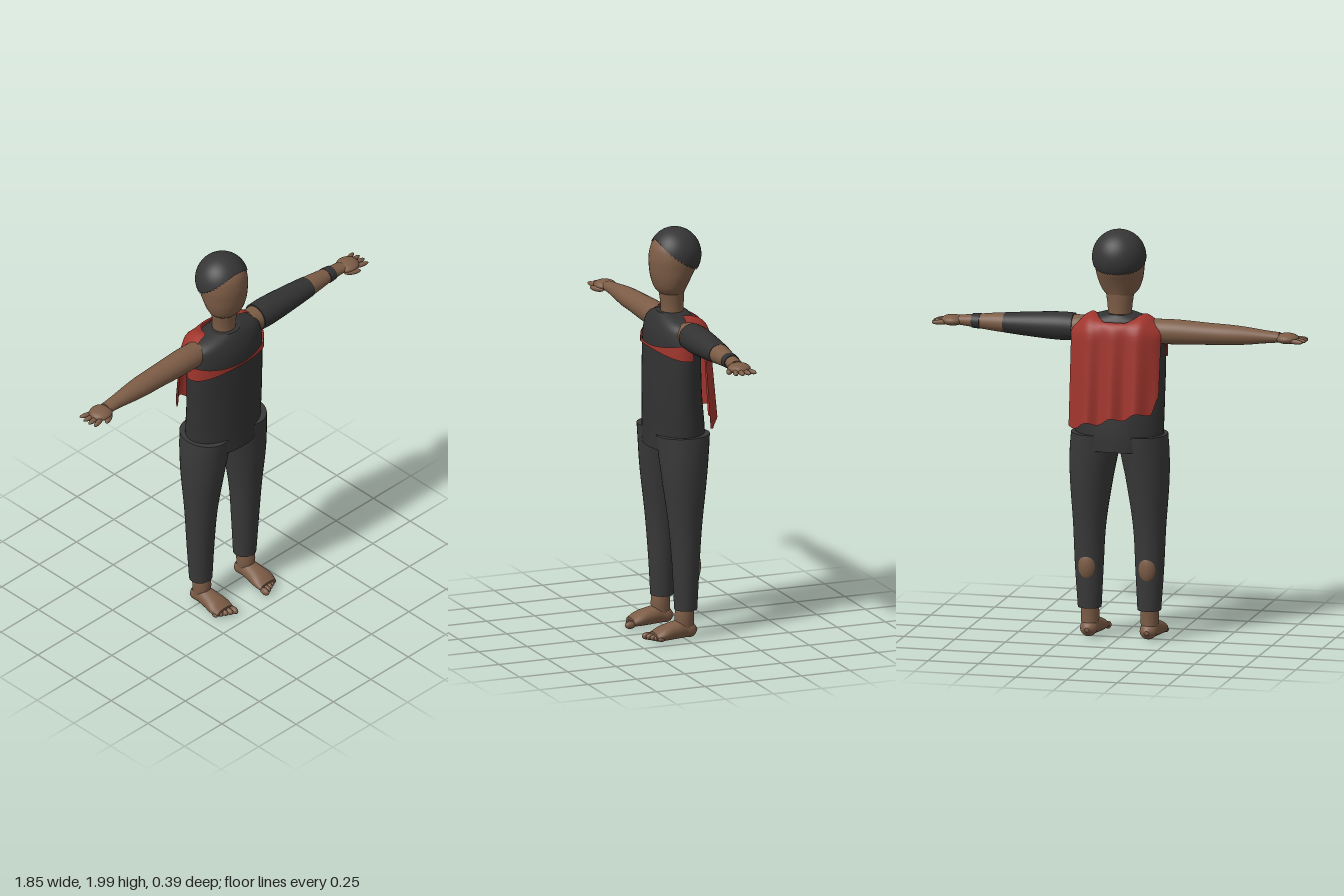
import * as THREE from 'three';

const paint = (name, color, side = THREE.FrontSide) => {
  const m = new THREE.MeshStandardMaterial({ color, side });
  m.name = name;
  return m;
};

// Smooth interpolation of sections [t, centreX, radiusX, zFront, zBack]
function profile(sections) {
  const f = new THREE.CubicInterpolant(sections.map(s => s[0]), sections.flatMap(s => s.slice(1)), 4);
  return (t, a, grow = 0) => {
    const [cx, rx, zf, zb] = f.evaluate(t);
    return [cx + (rx + grow) * Math.cos(a), t, (zf + zb) / 2 + ((zf - zb) / 2 + grow) * Math.sin(a)];
  };
}

// Closed tube of elliptical sections rising along y, with capped ends
function loft(sections, rows = 24, sides = 32) {
  const at = profile(sections), pos = [], idx = [];
  const t0 = sections[0][0], t1 = sections[sections.length - 1][0];
  const ring = t => {
    for (let j = 0; j < sides; j++) pos.push(...at(t, j / sides * Math.PI * 2));
  };
  for (let i = 0; i <= rows; i++) ring(t0 + (t1 - t0) * i / rows);
  for (let i = 0; i < rows; i++) for (let j = 0; j < sides; j++) {
    const k = (j + 1) % sides, a = i * sides + j, b = i * sides + k;
    idx.push(a, a + sides, b, b, a + sides, b + sides);
  }
  for (const [t, top] of [[t0, false], [t1, true]]) {
    const base = pos.length / 3;
    ring(t);
    for (let j = 1; j < sides - 1; j++) {
      if (top) idx.push(base, base + j + 1, base + j);
      else idx.push(base, base + j, base + j + 1);
    }
  }
  return surface(pos, idx);
}

// Open sheet from a point rule over u, v in 0..1
function sheet(rule, nu, nv) {
  const pos = [], idx = [];
  for (let i = 0; i <= nv; i++) for (let j = 0; j <= nu; j++) pos.push(...rule(j / nu, i / nv));
  for (let i = 0; i < nv; i++) for (let j = 0; j < nu; j++) {
    const a = i * (nu + 1) + j, c = a + nu + 1;
    idx.push(a, c, a + 1, a + 1, c, c + 1);
  }
  return surface(pos, idx);
}

function surface(pos, idx) {
  const g = new THREE.BufferGeometry();
  g.setAttribute('position', new THREE.Float32BufferAttribute(pos, 3));
  g.setIndex(idx);
  g.computeVertexNormals();
  return g;
}

export function createModel() {
  const model = new THREE.Group();
  const skin = paint('skin', 0x7c5c46);
  const hairMat = paint('hair', 0x363636, THREE.DoubleSide);
  const shirt = paint('shirt', 0x323232);
  const trousers = paint('trousers', 0x393939);
  const red = paint('red cloth', 0xa0352d, THREE.DoubleSide);

  const add = (name, geo, mat, parent = model) => {
    const m = new THREE.Mesh(geo, mat);
    m.name = name;
    parent.add(m);
    return m;
  };
  const ball = (name, mat, p, r, parent) => {
    const m = add(name, new THREE.SphereGeometry(1, 20, 14), mat, parent);
    m.position.set(...p);
    m.scale.set(...r);
    return m;
  };

  // Head and neck
  add('head', loft([
    [1.68, 0, 0.065, 0.06, -0.055], [1.7, 0, 0.085, 0.08, -0.062], [1.75, 0, 0.107, 0.1, -0.085],
    [1.81, 0, 0.118, 0.11, -0.115], [1.87, 0, 0.121, 0.11, -0.125], [1.93, 0, 0.105, 0.09, -0.11],
    [1.975, 0, 0.06, 0.04, -0.07]]), skin);
  add('neck', loft([[1.56, 0, 0.058, 0.055, -0.055], [1.62, 0, 0.059, 0.055, -0.055],
    [1.7, 0, 0.07, 0.065, -0.058]], 8), skin);

  // Hair cap, cut high over the face and low at the nape
  const hair = new THREE.SphereGeometry(1, 48, 24);
  const hp = hair.attributes.position;
  for (let i = 0; i < hp.count; i++) {
    const a = Math.atan2(hp.getX(i), hp.getZ(i));
    const th = Math.acos(THREE.MathUtils.clamp(hp.getY(i), -1, 1)) / Math.PI
      * (1.675 - 0.6 * Math.cos(a) - 0.125 * Math.cos(2 * a));
    const n = [Math.sin(th) * Math.sin(a), Math.cos(th), Math.sin(th) * Math.cos(a)];
    hair.attributes.normal.setXYZ(i, ...n);
    hp.setXYZ(i, n[0] * 0.13, 1.868 + n[1] * 0.132, -0.015 + n[2] * 0.126);
  }
  add('hair', hair, hairMat);

  // Shirt body
  const torso = [
    [0.935, 0, 0.212, 0.132, -0.146], [1.01, 0, 0.215, 0.13, -0.143], [1.2, 0, 0.22, 0.128, -0.125],
    [1.4, 0, 0.224, 0.122, -0.115], [1.5, 0, 0.216, 0.116, -0.108], [1.55, 0, 0.195, 0.1, -0.095],
    [1.575, 0, 0.14, 0.088, -0.085], [1.592, 0, 0.08, 0.075, -0.07]];
  add('shirt', loft(torso, 60, 48), shirt);

  // Cloth band across the chest, widening toward the armpits
  const body = profile(torso);
  add('chestBand', sheet((u, v) => {
    const a = -0.15 + u * (Math.PI + 0.3), c = Math.cos(a) ** 2;
    return body(THREE.MathUtils.lerp(1.443 + 0.027 * c, 1.43 - 0.038 * c, v), a, 0.01);
  }, 48, 4), red);

  // Cape: over the shoulders, then hanging in folds to an uneven hem
  add('cape', sheet((uu, v) => {
    const u = uu * 2 - 1, w = Math.abs(u), bow = 1 - u ** 4;
    const wide = THREE.MathUtils.smoothstep(w, 0.2, 0.6);
    const fold = 0.014 * Math.cos(11.4 * u) * bow;
    const y0 = 1.562 + 0.033 * wide - 0.045 * THREE.MathUtils.smoothstep(w, 0.55, 1);
    const z0 = -0.105 + 0.105 * wide, zb = -0.075 - 0.07 * bow;
    if (v < 0.25) {
      const t = v / 0.25, s = 1 - t;
      return [0.222 * u, s * s * y0 + 2 * s * t * (y0 - 0.004) + t * t * 1.48,
        s * s * z0 + 2 * s * t * (zb + 0.005) + t * t * zb - fold * 0.4 * t];
    }
    const t = (v - 0.25) / 0.75;
    const hem = 1.095 - 0.05 * u + 0.012 * Math.cos(11.4 * u) + 0.06 * THREE.MathUtils.smoothstep(-u, 0.85, 1);
    return [0.222 * u + 0.004 * t, THREE.MathUtils.lerp(1.48, hem, t),
      zb - 0.03 * t - fold * (0.4 + 0.6 * t)];
  }, 64, 32), red);

  for (const s of [1, -1]) {
    const side = s > 0 ? 'left' : 'right';

    // Trouser leg, with the calf showing through a tear behind
    add(side + 'TrouserLeg', loft([
      [0.15, s * 0.147, 0.057, 0.046, -0.064], [0.35, s * 0.149, 0.069, 0.056, -0.073],
      [0.55, s * 0.148, 0.079, 0.073, -0.086], [0.8, s * 0.137, 0.106, 0.104, -0.115],
      [0.93, s * 0.124, 0.118, 0.117, -0.13], [1.01, s * 0.12, 0.115, 0.125, -0.137]], 32), trousers);
    ball(side + 'Calf', skin, [s * 0.149, 0.36, -0.045], [0.046, 0.08, 0.038]);

    // Ankle, foot and toes
    add(side + 'Ankle', loft([[0.04, s * 0.147, 0.038, 0.035, -0.05], [0.1, s * 0.147, 0.044, 0.045, -0.048],
      [0.18, s * 0.147, 0.042, 0.038, -0.052]], 8), skin);
    const foot = add(side + 'Foot', loft([
      [-0.064, 0, 0.012, -0.035, -0.055], [-0.045, 0, 0.036, -0.014, -0.08], [0, 0, 0.042, -0.01, -0.1],
      [0.06, 0, 0.05, -0.007, -0.092], [0.12, 0, 0.059, -0.006, -0.072],
      [0.155, s * -0.004, 0.052, -0.01, -0.05]]).rotateX(Math.PI / 2), skin);
    foot.position.x = s * 0.147;
    for (let i = 0; i < 5; i++) {
      const r = 0.018 - i * 0.0015;
      ball(side + 'Toe', skin, [s * (0.104 + i * 0.0225), 0.024, 0.172 - i * 0.009], [r * 0.85, r, r * 1.5]);
    }

    // Arm pieces are lofted along y, then laid out sideways
    const arm = new THREE.Group();
    arm.name = side + 'Arm';
    arm.position.y = 1.513;
    arm.rotation.z = -s * Math.PI / 2;
    model.add(arm);
    add(side + 'BareArm', loft([
      [0.17, 0, 0.058, 0.05, -0.07], [0.27, 0, 0.06, 0.052, -0.072], [0.45, 0, 0.052, 0.046, -0.066],
      [0.55, 0, 0.048, 0.044, -0.062], [0.62, 0, 0.043, 0.038, -0.054], [0.72, 0, 0.031, 0.03, -0.042],
      [0.79, 0, 0.024, 0.03, -0.036]], 32), skin, arm);
    if (s > 0) {
      add('sleeve', loft([[0.222, 0, 0.066, 0.058, -0.08], [0.28, 0, 0.068, 0.06, -0.082],
        [0.45, 0, 0.058, 0.053, -0.073], [0.565, 0, 0.048, 0.046, -0.064]], 16), shirt, arm);
      add('wristBand', loft([[0.685, 0, 0.037, 0.036, -0.05], [0.725, 0, 0.034, 0.034, -0.046]], 2), shirt, arm);
    }

    // Hand with fanned fingers and a forward thumb
    ball(side + 'Palm', skin, [s * 0.825, 1.51, 0], [0.058, 0.026, 0.055]);
    for (let i = 0; i < 4; i++) {
      const k = i - 1.5, fan = k * 0.2, reach = 0.885 - Math.abs(k) * 0.006;
      const finger = ball(side + 'Finger', skin, [s * reach, 1.503, k * 0.026], [0.041, 0.012, 0.0125]);
      finger.rotation.y = -s * fan;
    }
    const thumb = ball(side + 'Thumb', skin, [s * 0.815, 1.497, 0.045], [0.042, 0.014, 0.015]);
    thumb.rotation.y = -s * 0.5;
  }
  return model;
}
